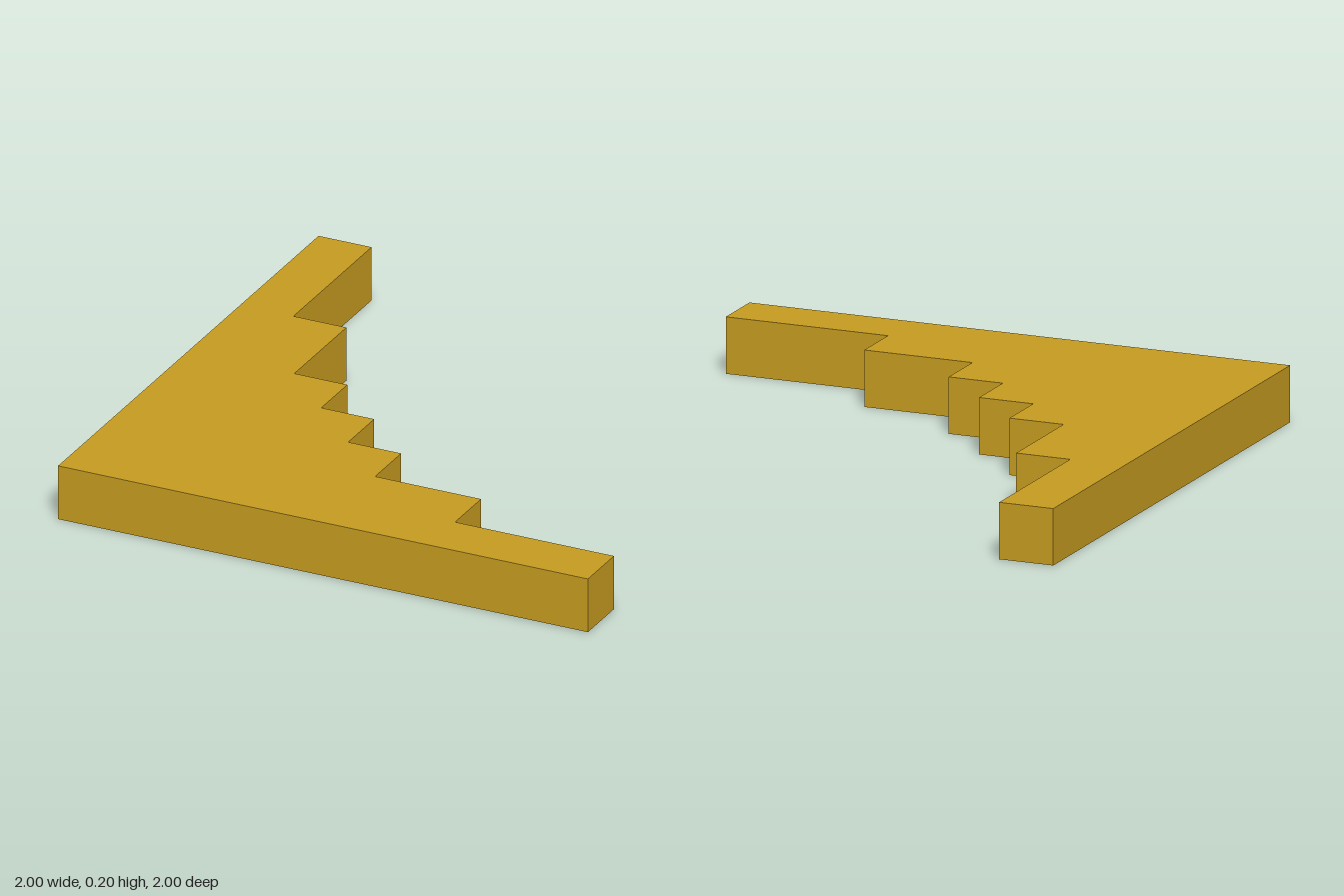
import * as THREE from 'three';

const THICKNESS = 0.2;

// Each step of the inner edge: [right end in x, back edge in z]
const STEPS = [
  [-0.8, -1], [-0.6, -0.4], [-0.4, 0], [-0.2, 0.2], [0, 0.4], [0.4, 0.6], [1, 0.8],
];

export function createModel() {
  const gold = new THREE.MeshStandardMaterial({ color: 0xc89d20 });
  gold.name = 'gold';

  // Plan outline, drawn with shape y = -z
  const outline = new THREE.Shape();
  outline.moveTo(-1, -1);
  outline.lineTo(1, -1);
  for (let i = STEPS.length - 1; i >= 0; i--) {
    const [right, back] = STEPS[i];
    const left = i > 0 ? STEPS[i - 1][0] : -1;
    outline.lineTo(right, -back);
    outline.lineTo(left, -back);
  }
  outline.closePath();

  // Extrude upwards and lay flat on the ground
  const geometry = new THREE.ExtrudeGeometry(outline, { depth: THICKNESS, bevelEnabled: false });
  geometry.rotateX(-Math.PI / 2);

  const bracket = new THREE.Mesh(geometry, gold);
  bracket.name = 'steppedCornerBracket';

  const model = new THREE.Group();
  model.name = 'cornerBracket';
  model.add(bracket);
  return model;
}
